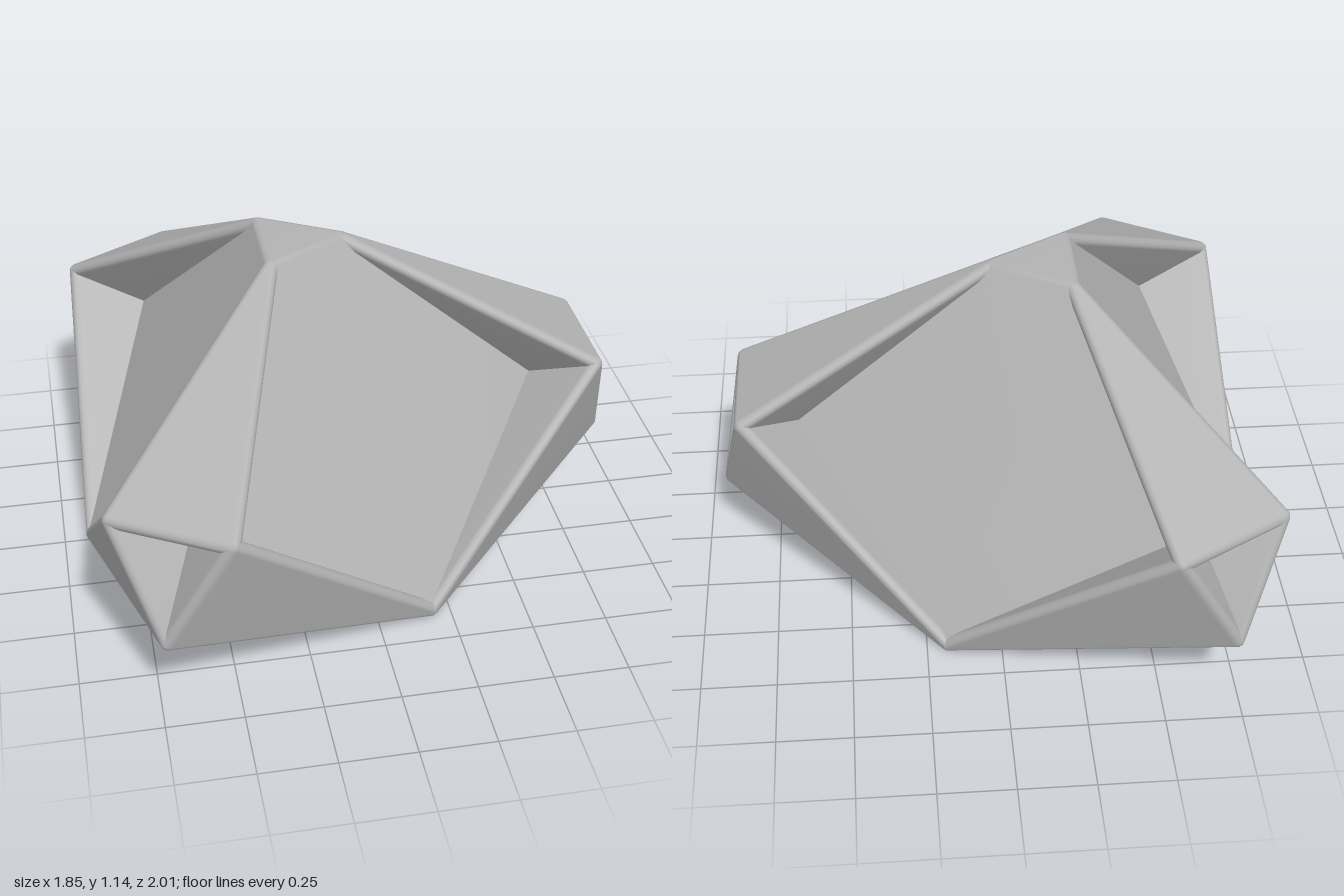
import * as THREE from 'three';
import { ConvexGeometry } from 'three/addons/geometries/ConvexGeometry.js';
import { mergeVertices } from 'three/addons/utils/BufferGeometryUtils.js';

const EDGE = 0.025; // rounding radius of every edge
const AXIS_X = -0.18; // x of the threefold axis

// Convex solid with rounded edges: the hull of a small ball at each corner
function roundedHull(corners) {
  const ball = mergeVertices(
    new THREE.IcosahedronGeometry(EDGE, 1).deleteAttribute('normal').deleteAttribute('uv')
  ).getAttribute('position');
  const points = [];
  for (const [x, y, z] of corners) {
    for (let i = 0; i < ball.count; i++) {
      points.push(new THREE.Vector3().fromBufferAttribute(ball, i).add(new THREE.Vector3(x, y, z)));
    }
  }
  const hull = new ConvexGeometry(points);
  hull.deleteAttribute('normal');
  const geometry = mergeVertices(hull, 1e-5);
  geometry.computeVertexNormals();
  return geometry;
}

// Point at a radius, height and angle in degrees about the axis
function polar(radius, y, degrees) {
  const a = THREE.MathUtils.degToRad(degrees);
  return [radius * Math.cos(a), y, radius * Math.sin(a)];
}

export function createModel() {
  const grey = new THREE.MeshStandardMaterial({ color: 0xb2b2b2 });
  grey.name = 'grey';

  const model = new THREE.Group();
  model.name = 'facetedPolyhedron';
  const body = new THREE.Group();
  body.name = 'body';
  body.position.x = AXIS_X;
  model.add(body);

  const add = (parent, name, corners) => {
    const mesh = new THREE.Mesh(roundedHull(corners), grey);
    mesh.name = name;
    parent.add(mesh);
  };

  // Corner points of one arm, pointing along +x
  const top = polar(0.17, 1.115, 0);
  const pit = polar(0.85, 0.53, 0);
  const low = polar(1.08, 0.285, 0);
  const shoulder = (side) => [1.015, 0.655, 0.2 * side];
  const foot = (side) => polar(0.72, 0.025, 60 * side);

  // Core between the top triangle, the base triangle and the three pits
  const core = [];
  for (const turn of [0, 120, 240]) {
    core.push(polar(0.17, 1.115, turn), polar(0.85, 0.53, turn), polar(0.72, 0.025, turn + 60));
  }
  add(body, 'core', core);

  // Three arms, each of three tetrahedra meeting at the pit
  for (let i = 0; i < 3; i++) {
    const arm = new THREE.Group();
    arm.name = `arm${i + 1}`;
    arm.rotation.y = (i * Math.PI * 2) / 3;
    body.add(arm);
    add(arm, 'upperSpike', [pit, top, shoulder(1), shoulder(-1)]);
    for (const side of [1, -1]) {
      add(arm, side > 0 ? 'frontLowerSpike' : 'backLowerSpike', [pit, low, shoulder(side), foot(side)]);
    }
  }
  return model;
}
